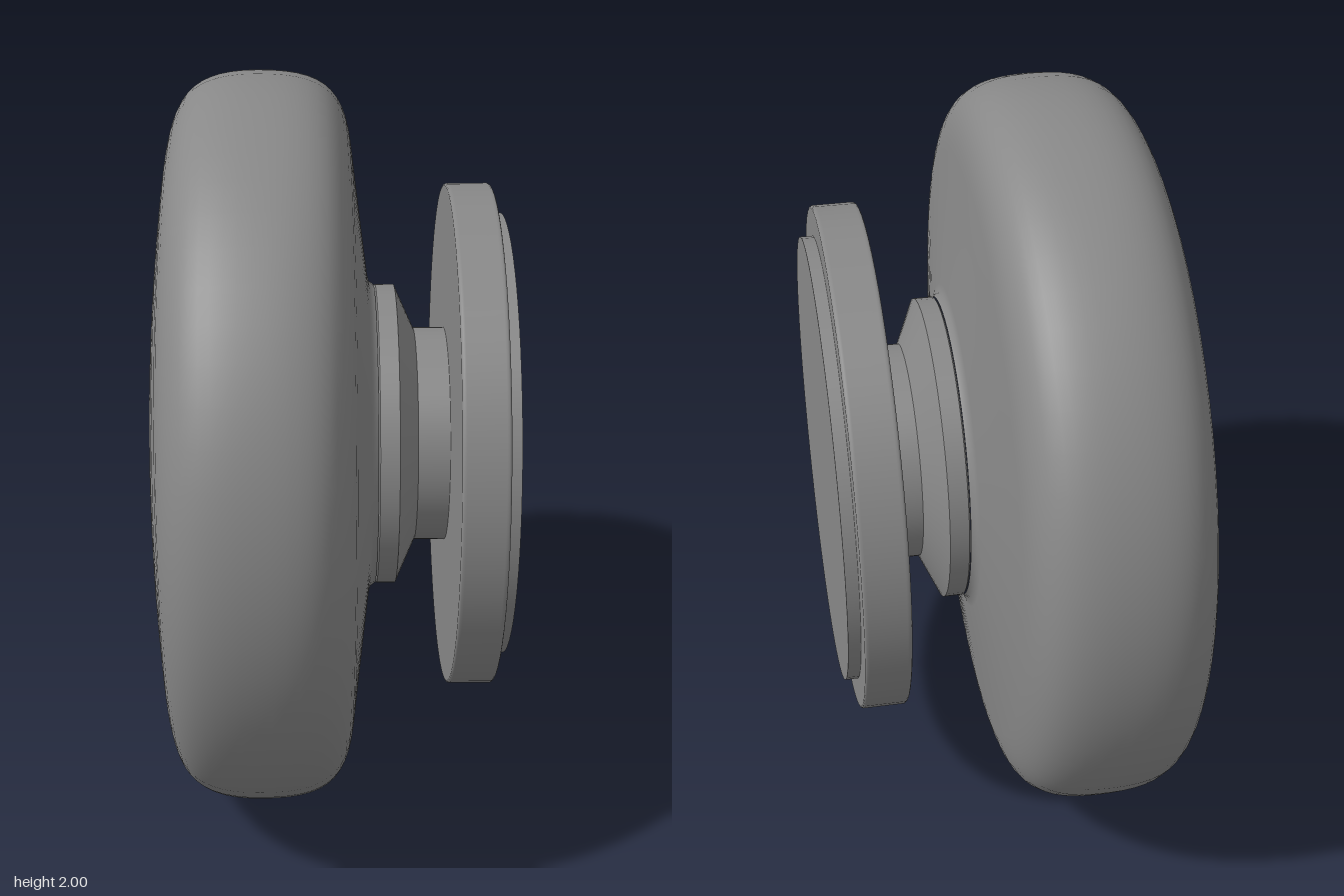
import * as THREE from 'three';

const SIDES = 64;
const v = (x, r) => new THREE.Vector2(r, x);

// Revolves profile points around the knob axis
function turned(name, points, material) {
  const mesh = new THREE.Mesh(new THREE.LatheGeometry(points, SIDES), material);
  mesh.name = name;
  return mesh;
}

// One band per straight segment, so every edge stays sharp
function turnedSharp(name, pairs, material) {
  const group = new THREE.Group();
  group.name = name;
  for (let i = 0; i < pairs.length - 1; i++) {
    group.add(turned(name + 'Band' + (i + 1), [v(...pairs[i]), v(...pairs[i + 1])], material));
  }
  return group;
}

export function createModel() {
  const model = new THREE.Group();
  model.name = 'doorKnob';
  const material = new THREE.MeshStandardMaterial({ color: 0x888888 });

  const knob = new THREE.Group();
  knob.name = 'knobAssembly';

  // Grip: shallow domed face, full rounded rim, tapered back
  const face = [];
  for (let i = 0; i <= 8; i++) {
    const r = 0.8 * i / 8;
    face.push(v(-0.48 + 0.055 * (r / 0.8) ** 2, r));
  }
  const rimFront = new THREE.CubicBezierCurve(v(-0.425, 0.8), v(-0.405, 0.95), v(-0.34, 1), v(-0.185, 1));
  const rimBack = new THREE.CubicBezierCurve(v(-0.185, 1), v(-0.02, 1), v(0.045, 0.96), v(0.063, 0.81));
  const rim = [...rimFront.getPoints(12).slice(1), ...rimBack.getPoints(12).slice(1)];
  const back = [v(0.075, 0.71), v(0.108, 0.45), v(0.114, 0.425), v(0.128, 0.415)];
  knob.add(turned('grip', [...face, ...rim, ...back], material));

  // Collar, cone and stem
  knob.add(turnedSharp('neck', [
    [0.128, 0.41], [0.132, 0.415], [0.183, 0.415], [0.237, 0.295], [0.322, 0.295],
  ], material));

  // Rose plate with softly rounded edges
  const rose = [
    [0.322, 0], [0.322, 0.68], [0.322, 0.686], [0.324, 0.69], [0.328, 0.692], [0.334, 0.692],
    [0.432, 0.692], [0.438, 0.692], [0.442, 0.69], [0.444, 0.686], [0.444, 0.68], [0.444, 0],
  ];
  knob.add(turned('rosePlate', rose.map((p) => v(...p)), material));

  // Thin mounting disc
  knob.add(turnedSharp('mountingDisc', [
    [0.444, 0.61], [0.478, 0.61], [0.478, 0],
  ], material));

  // Lay the axis along x
  knob.rotation.z = -Math.PI / 2;
  knob.position.y = 1;
  model.add(knob);
  return model;
}
